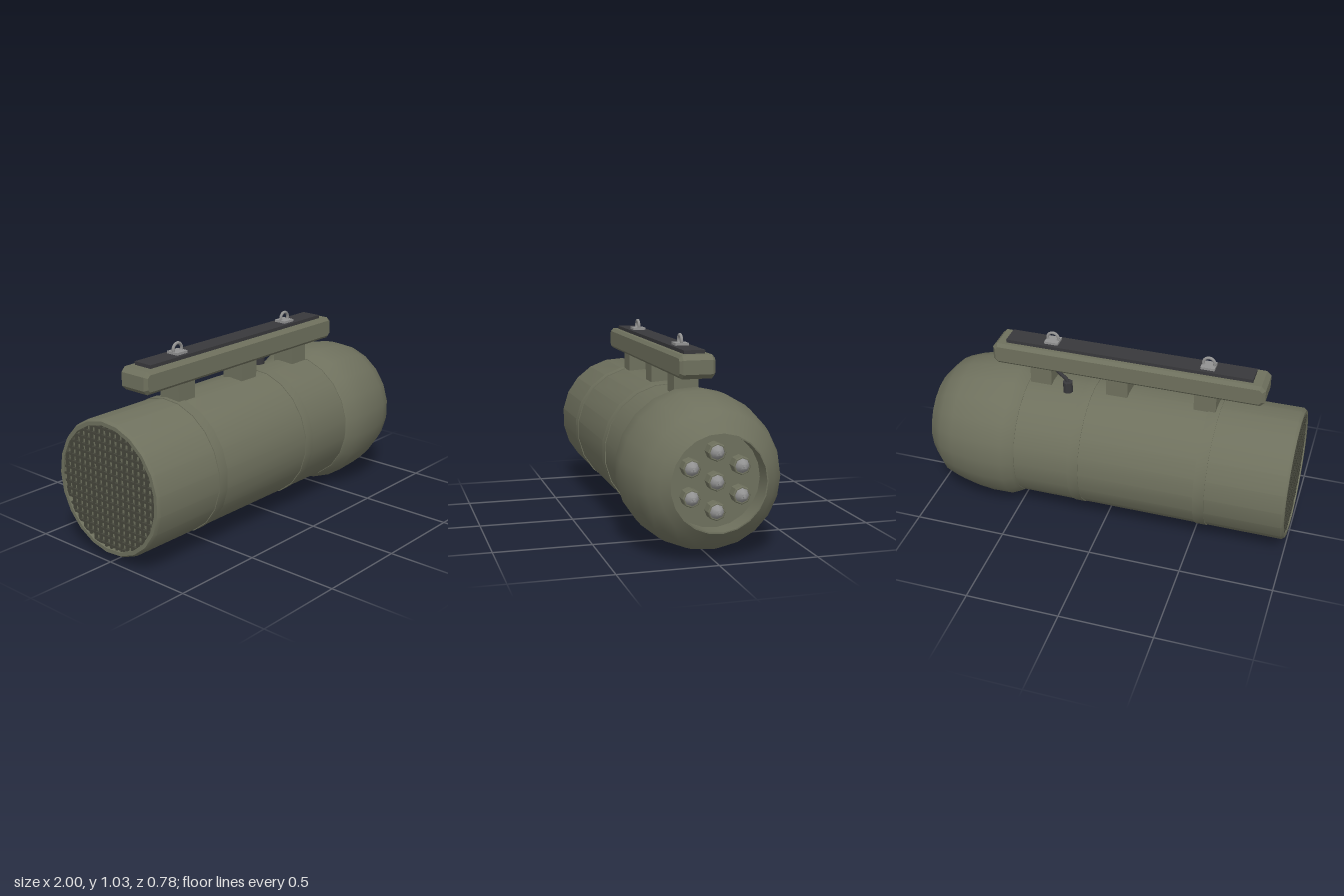
import * as THREE from 'three';
import { toCreasedNormals } from 'three/addons/utils/BufferGeometryUtils.js';

const mat = (color) => new THREE.MeshStandardMaterial({ color });
const olive = mat(0x6e705d), dark = mat(0x38383b), steel = mat(0x929292), grate = mat(0x45463b);
const CY = 0.3975; // height of the pod axis

function add(parent, name, geo, material, x = 0, y = 0, z = 0) {
  const m = new THREE.Mesh(geo, material);
  m.name = name;
  m.position.set(x, y, z);
  parent.add(m);
  return m;
}

// Solid of revolution about x; profile entries are [x, radius]
function turned(profile, sides, crease = 0.6) {
  const g = new THREE.LatheGeometry(profile.map(([x, r]) => new THREE.Vector2(r, x)), sides, Math.PI);
  g.rotateZ(-Math.PI / 2);
  return toCreasedNormals(g, crease);
}

const box = (w, h, d) => new THREE.BoxGeometry(w, h, d);

// Box with chamfered edges, extruded along z
function chamferedBox(w, h, d, c) {
  const x = w / 2 - c, y = h / 2 - c, k = c * 0.9;
  const pts = [[-x + k, -y], [x - k, -y], [x, -y + k], [x, y - k], [x - k, y], [-x + k, y], [-x, y - k], [-x, -y + k]];
  const shape = new THREE.Shape(pts.map(([a, b]) => new THREE.Vector2(a, b)));
  const g = new THREE.ExtrudeGeometry(shape, {
    depth: d - 2 * c, bevelEnabled: true, bevelThickness: c, bevelSize: c, bevelSegments: 1,
  });
  return g.translate(0, 0, -d / 2 + c);
}

export function createModel() {
  const model = new THREE.Group();
  model.name = 'launcherPod';

  // Main tube with a shallow recess at the rear
  add(model, 'bodyTube', turned([
    [-0.98, 0], [-0.98, 0.325], [-1, 0.325], [-1, 0.345], [-0.985, 0.355], [0.48, 0.355],
  ], 21), olive, 0, CY);

  // Bulged nose with an open, recessed front
  add(model, 'noseFairing', turned([
    [0.47, 0.34], [0.47, 0.358], [0.485, 0.368], [0.535, 0.391], [0.65, 0.393], [0.74, 0.383],
    [0.83, 0.364], [0.91, 0.335], [0.96, 0.286], [1, 0.24], [1, 0.234], [0.9, 0.234], [0.9, 0],
  ], 21), olive, 0, CY);
  add(model, 'noseHatch', box(0.07, 0.02, 0.08), olive, 0.62, 0.019, 0);

  // Seven tubes with pointed rounds: one central, six in a ring
  const collar = turned([
    [0.89, 0.045], [0.955, 0.045], [0.96, 0.041], [0.96, 0.036], [0.945, 0.036],
  ], 8, 0.3);
  const tip = turned([
    [0.94, 0.037], [0.96, 0.035], [0.975, 0.025], [0.985, 0.013], [0.988, 0.006], [0.995, 0.005], [0.995, 0],
  ], 8, 0.9);
  for (let i = 0; i < 7; i++) {
    const a = Math.PI / 2 + i * Math.PI / 3, r = i < 6 ? 0.143 : 0;
    const round = new THREE.Group();
    round.name = 'round';
    round.position.set(0, CY + r * Math.sin(a), r * Math.cos(a));
    add(round, 'tubeCollar', collar, olive);
    add(round, 'roundTip', tip, steel);
    model.add(round);
  }

  // Crossed bars of the rear grate
  const rearGrate = new THREE.Group();
  rearGrate.name = 'rearGrate';
  for (let i = -8; i <= 8; i++) {
    const d = i * 0.038, len = 2 * Math.sqrt(0.325 ** 2 - d * d);
    add(rearGrate, 'grateBarAcross', box(0.016, 0.012, len), grate, -0.986, CY + d, 0);
    add(rearGrate, 'grateBarUpright', box(0.016, len, 0.012), grate, -0.985, CY, d);
  }
  model.add(rearGrate);

  // Straps round the tube, each with a buckle underneath
  const strap = turned([[-0.03, 0.35], [-0.03, 0.359], [0.03, 0.359], [0.03, 0.35]], 21);
  for (const x of [-0.55, 0.138]) {
    add(model, 'strap', strap, olive, x, CY);
    add(model, 'strapBuckle', box(0.07, 0.035, 0.08), steel, x, 0.029, 0);
  }

  // Mounting rail on three posts
  for (const x of [-0.5, -0.022, 0.402]) {
    add(model, 'railPost', box(0.118, 0.15, 0.13), olive, x, 0.785, 0);
  }
  add(model, 'mountingRail', chamferedBox(1.476, 0.118, 0.184, 0.016), olive, -0.073, 0.901, 0.001);
  add(model, 'railPad', box(1.335, 0.03, 0.11), dark, -0.072, 0.963, 0);

  // Suspension lugs
  for (const x of [-0.497, 0.35]) {
    const lug = new THREE.Group();
    lug.name = 'suspensionLug';
    lug.position.set(x, 0, 0);
    add(lug, 'lugBase', box(0.075, 0.02, 0.07), steel, 0, 0.981, 0);
    add(lug, 'lugRing', new THREE.TorusGeometry(0.03, 0.008, 8, 20), steel, 0, 1.001, 0);
    model.add(lug);
  }

  // Plug and cable between tube and rail
  add(model, 'cablePlug', new THREE.CylinderGeometry(0.027, 0.027, 0.06, 8), dark, 0.243, 0.767, -0.085);
  const path = new THREE.CatmullRomCurve3([
    [0.243, 0.78, -0.082], [0.25, 0.806, -0.08], [0.29, 0.838, -0.077], [0.315, 0.865, -0.075],
  ].map((p) => new THREE.Vector3(...p)));
  add(model, 'cable', new THREE.TubeGeometry(path, 10, 0.01, 8), dark);

  return model;
}
